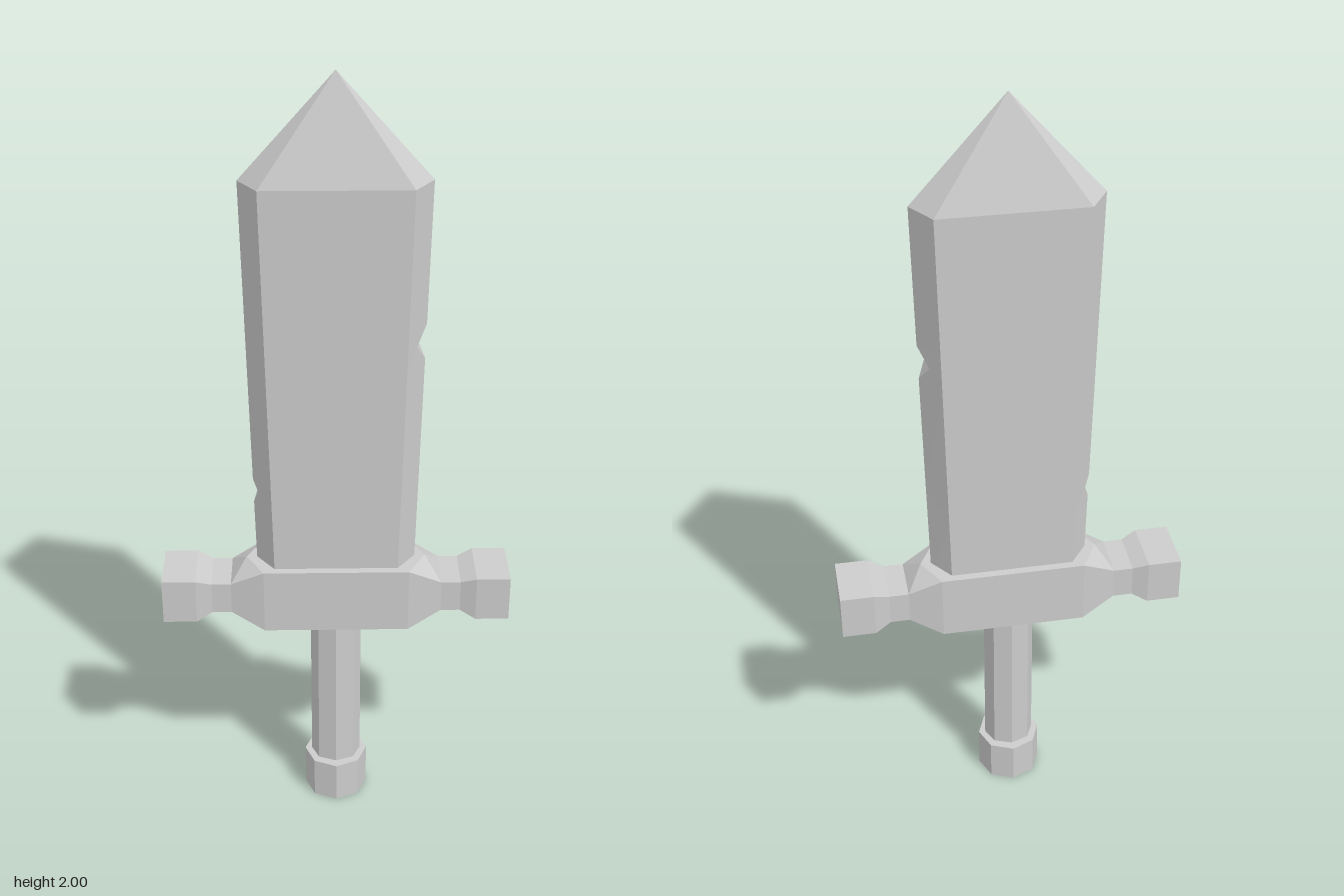
import * as THREE from 'three';

const metal = new THREE.MeshStandardMaterial({ color: 0xcccccc });
metal.name = 'grey';

// Faceted skin over a list of equal-length rings, closed at both ends
function loft(rings) {
  const out = [];
  const tri = (a, b, c) => {
    const n = b.clone().sub(a).cross(c.clone().sub(a));
    if (n.length() > 1e-8) for (const p of [a, b, c]) out.push(p.x, p.y, p.z);
  };
  const n = rings[0].length;
  for (let r = 0; r < rings.length - 1; r++) {
    for (let i = 0; i < n; i++) {
      const j = (i + 1) % n;
      const a = rings[r][i], b = rings[r][j], c = rings[r + 1][j], d = rings[r + 1][i];
      // split each quad along its shorter diagonal
      if (a.distanceTo(c) < b.distanceTo(d)) { tri(a, d, c); tri(a, c, b); }
      else { tri(a, d, b); tri(d, c, b); }
    }
  }
  const first = rings[0], last = rings[rings.length - 1];
  for (let i = 1; i < n - 1; i++) {
    tri(first[0], first[i], first[i + 1]);
    tri(last[0], last[i + 1], last[i]);
  }
  const g = new THREE.BufferGeometry();
  g.setAttribute('position', new THREE.Float32BufferAttribute(out, 3));
  g.computeVertexNormals();
  return g;
}

const v = (x, y, z) => new THREE.Vector3(x, y, z);

// Hexagonal blade section; a notch spreads the cutting edge and pulls it inward
function bladeRing(y, notchL = 0, notchR = 0, spread = 0.035) {
  const t = (y - 0.74) / 1.01;
  const edge = 0.203 + 0.022 * t, flat = 0.157 + 0.021 * t, z = 0.062 + 0.013 * t;
  const side = (s, notch) => {
    const mz = notch ? spread : 0;
    const mx = edge - (edge - flat) * mz / z;
    return [v(s * flat, y, z), v(s * mx, y, mz), v(s * (edge - notch), y, 0),
      v(s * mx, y, -mz), v(s * flat, y, -z)];
  };
  const L = side(-1, notchL), R = side(1, notchR);
  return [...L, ...R.reverse()];
}

function bladeGeometry() {
  const rings = [
    bladeRing(0.70), bladeRing(0.91), bladeRing(0.945, 0.012, 0, 0.018), bladeRing(0.975),
    bladeRing(1.305), bladeRing(1.35, 0, 0.024), bladeRing(1.395), bladeRing(1.75),
  ];
  rings.push(rings[0].map(() => v(0, 2, 0)));
  return loft(rings);
}

function guardGeometry() {
  // x, x of the top ridge, top y, bottom y, half depth
  const half = [
    [0.185, 0.23, 0.745, 0.57, 0.083],
    [0.27, 0.27, 0.70, 0.615, 0.063],
    [0.32, 0.32, 0.70, 0.615, 0.063],
    [0.36, 0.36, 0.716, 0.595, 0.076],
    [0.446, 0.446, 0.716, 0.595, 0.076],
  ];
  const ring = (s) => ([x, ridge, top, bottom, z]) => [
    v(s * x, top, z), v(s * ridge, top, 0), v(s * x, top, -z),
    v(s * x, bottom, -z), v(s * x, bottom, z),
  ];
  return loft([...half.map(ring(-1)).reverse(), ...half.map(ring(1))]);
}

// Eight-sided bar with corners on the axes
function octagonBar(rx, rz, y0, y1) {
  const g = new THREE.CylinderGeometry(1, 1, y1 - y0, 8).toNonIndexed();
  g.scale(rx, 1, rz);
  g.translate(0, (y0 + y1) / 2, 0);
  g.computeVertexNormals();
  return g;
}

export function createModel() {
  const model = new THREE.Group();
  model.name = 'sword';
  const add = (name, geometry) => {
    const mesh = new THREE.Mesh(geometry, metal);
    mesh.name = name;
    model.add(mesh);
  };
  add('blade', bladeGeometry());
  add('crossguard', guardGeometry());
  add('grip', octagonBar(0.066, 0.058, 0.1, 0.58));
  add('pommel', octagonBar(0.084, 0.083, 0, 0.115));
  return model;
}
